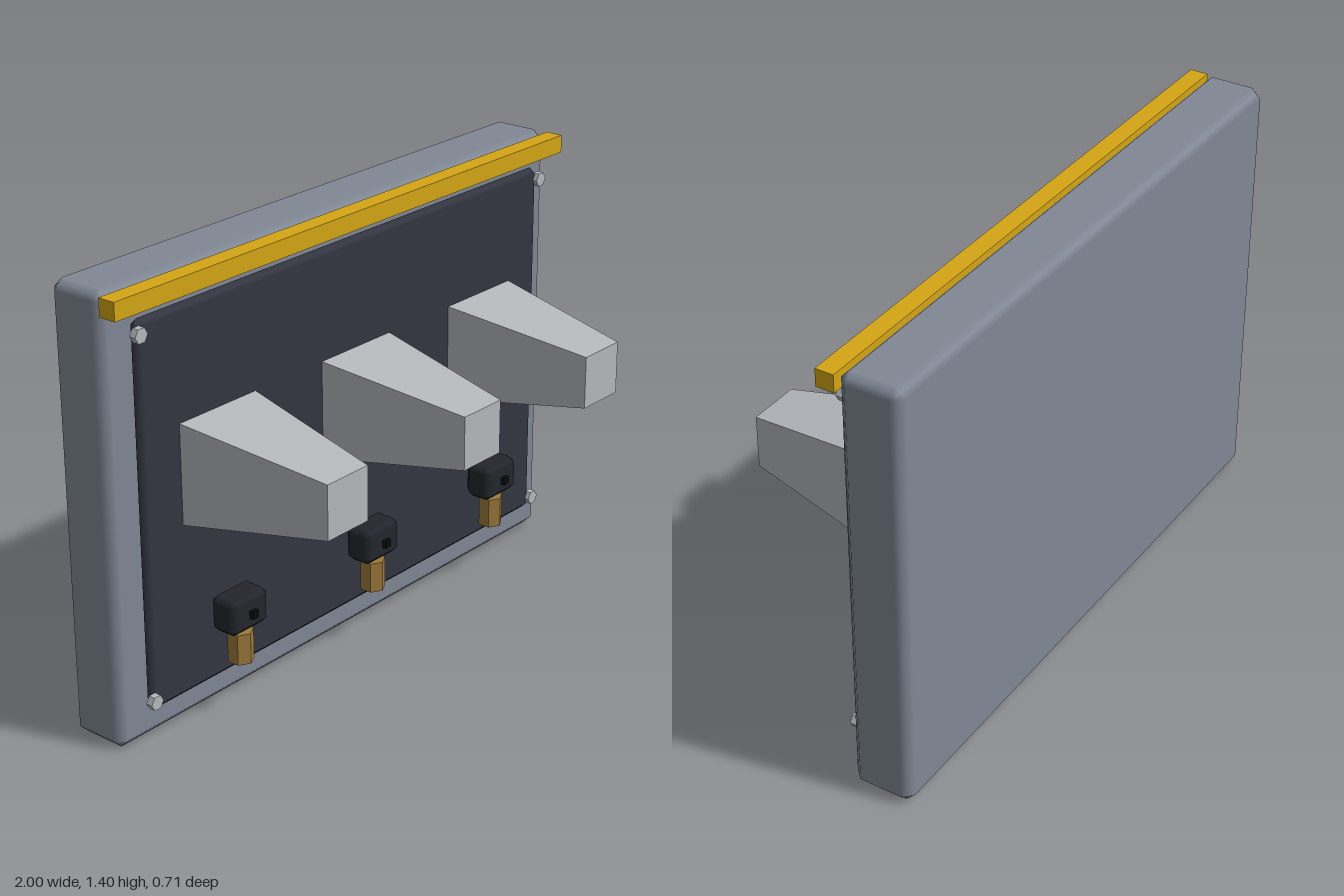
import * as THREE from 'three';
import { RoundedBoxGeometry } from 'three/addons/geometries/RoundedBoxGeometry.js';

const mat = (color, flatShading = false) => new THREE.MeshStandardMaterial({ color, flatShading });

// Box with straight 45-degree chamfers and soft normals
function chamferBox(w, h, d, r) {
  const geo = new RoundedBoxGeometry(w, h, d, 1, r);
  const pos = geo.attributes.position, nor = geo.attributes.normal;
  const p = new THREE.Vector3(), n = new THREE.Vector3();
  for (let i = 0; i < pos.count; i++) {
    p.fromBufferAttribute(pos, i);
    n.fromBufferAttribute(nor, i);
    const sum = Math.abs(n.x) + Math.abs(n.y) + Math.abs(n.z);
    p.addScaledVector(n, r / sum - r);
    pos.setXYZ(i, p.x, p.y, p.z);
  }
  return geo;
}

export function createModel() {
  const model = new THREE.Group();
  model.name = 'wallPanel';
  const add = (parent, name, geo, material, x, y, z) => {
    const mesh = new THREE.Mesh(geo, material);
    mesh.name = name;
    mesh.position.set(x, y, z);
    parent.add(mesh);
    return mesh;
  };

  const steel = mat(0x808895);
  const dark = mat(0x333640);
  const black = mat(0x22252b);
  const pinBlack = mat(0x0a0a0a);
  const yellow = mat(0xd4a514);
  const brass = mat(0x9c7a3c, true);
  const light = mat(0xb4b8bc, true);

  // Backing slab, front plate and top rail
  add(model, 'backSlab', chamferBox(2, 1.4, 0.197, 0.03), steel, 0, 0.7, -0.2585);
  add(model, 'frontPlate', chamferBox(1.81, 1.2, 0.04, 0.02), dark, 0, 0.7025, -0.14);
  add(model, 'topRail', new THREE.BoxGeometry(2, 0.056, 0.058), yellow, 0, 1.362, -0.129);

  // Hexagonal screws in the plate corners
  const screwGeo = new THREE.CylinderGeometry(0.024, 0.024, 0.022, 6)
    .rotateY(Math.PI / 2).rotateX(Math.PI / 2);
  for (const x of [-0.9, 0.9])
    for (const y of [0.143, 1.265]) add(model, 'plateScrew', screwGeo, light, x, y, -0.116);

  // Three stations: tapered horn, sensor box with pin, hexagonal brass stub
  const hornGeo = new THREE.CylinderGeometry(0.084 * Math.SQRT2, 0.156 * Math.SQRT2, 0.48, 4)
    .rotateY(Math.PI / 4).rotateX(Math.PI / 2);
  const boxGeo = chamferBox(0.16, 0.117, 0.1, 0.022);
  const pinGeo = new THREE.BoxGeometry(0.024, 0.024, 0.02);
  const stubGeo = new THREE.CylinderGeometry(0.04, 0.04, 0.098, 6);
  for (const x of [-0.6, 0, 0.6]) {
    const station = new THREE.Group();
    station.name = 'station';
    station.position.x = x;
    add(station, 'taperedHorn', hornGeo, light, 0, 0.803, 0.118);
    add(station, 'sensorBox', boxGeo, black, 0, 0.342, -0.058);
    add(station, 'sensorPin', pinGeo, pinBlack, 0, 0.342, -0.004);
    add(station, 'brassStub', stubGeo, brass, 0, 0.223, -0.058);
    model.add(station);
  }
  return model;
}
